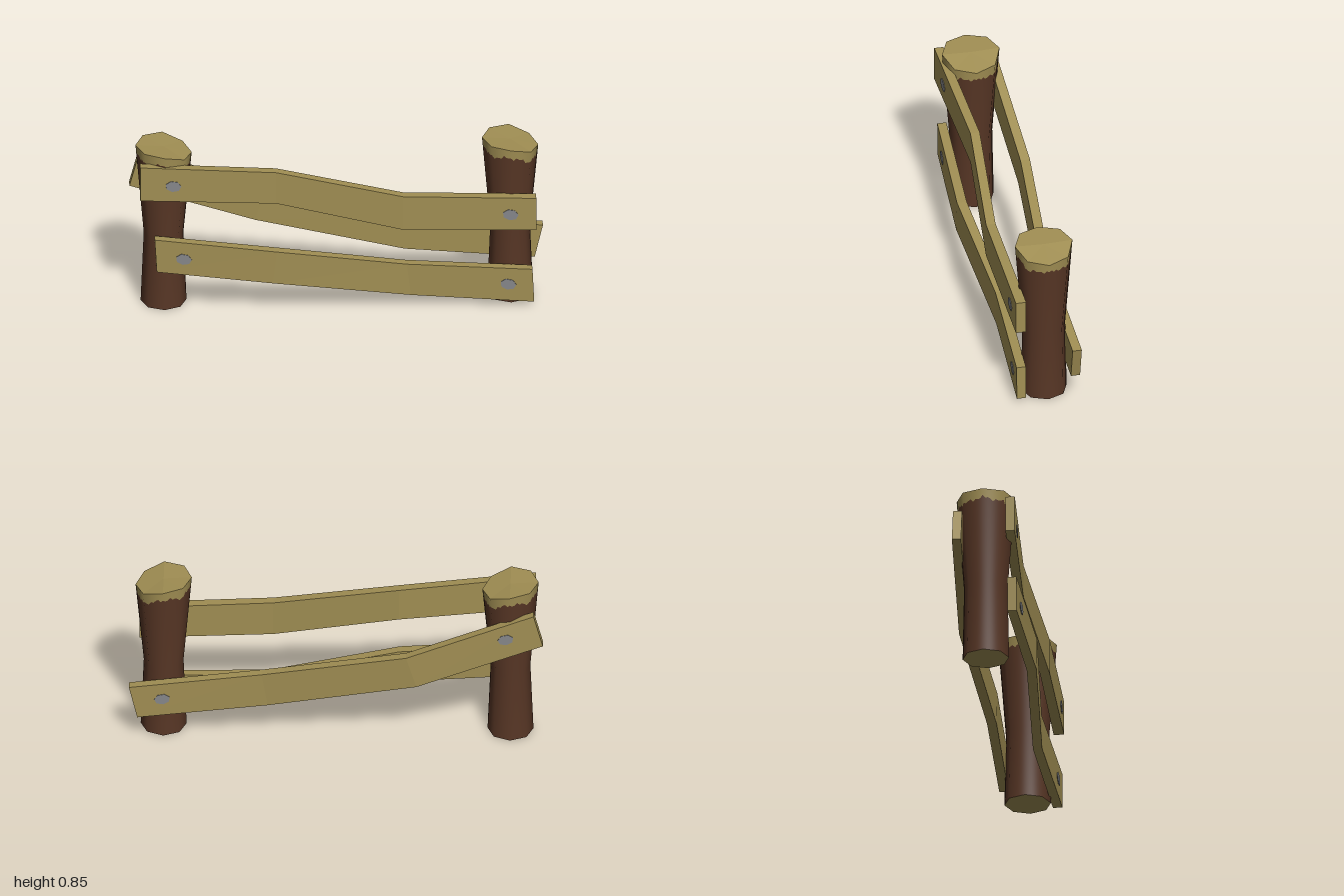
import * as THREE from 'three';

const SIDES = 8, SUB = 8, COLS = SIDES * SUB;
const lerp = THREE.MathUtils.lerp;

// Point on a unit octagon's outline for column i
function octagon(i) {
  const k = Math.floor(i / SUB), t = (i % SUB) / SUB;
  const a = (k / SIDES) * Math.PI * 2, b = ((k + 1) / SIDES) * Math.PI * 2;
  return [lerp(Math.cos(a), Math.cos(b), t), lerp(Math.sin(a), Math.sin(b), t)];
}

// Height of the slanted post top, by corner from +x round to -x
const CORNER_Y = [0.8, 0.81, 0.84, 0.845, 0.845, 0.845, 0.84, 0.81];
function topY(i) {
  const k = Math.floor(i / SUB);
  return lerp(CORNER_Y[k % SIDES], CORNER_Y[(k + 1) % SIDES], (i % SUB) / SUB);
}

// Ragged lower edge of the bare wood
function barkY(i) {
  const j = i % COLS, a = (j / COLS) * Math.PI * 2;
  const jag = 0.007 * Math.sin(j * 2.4) + 0.005 * Math.sin(j * 5.3 + 1);
  return topY(j) - 0.05 + 0.006 * Math.cos(4 * a) + jag;
}

const WAIST = 0.37;
// Post surface point; t runs from the waist (0) to the top (1)
function upper(i, t) {
  const [c, s] = octagon(i);
  return [c * lerp(0.096, 0.136, t), lerp(WAIST, topY(i), t), s * lerp(0.106, 0.142, t)];
}
const barkPoint = (i) => upper(i, (barkY(i) - WAIST) / (topY(i) - WAIST));
const footPoint = (i) => { const [c, s] = octagon(i); return [c * 0.111, 0, s * 0.113]; };

// Smooth-shaded tube through rings given as functions of the column
function tube(rings, slopes) {
  const pos = [], nor = [], idx = [], W = COLS + 1;
  rings.forEach((ring, r) => {
    for (let i = 0; i <= COLS; i++) {
      const [c, s] = octagon(i);
      pos.push(...ring(i));
      nor.push(...new THREE.Vector3(c, slopes[r], s).normalize().toArray());
      if (r && i < COLS) {
        const a = (r - 1) * W + i, d = a + W;
        idx.push(a, d, a + 1, a + 1, d, d + 1);
      }
    }
  });
  const g = new THREE.BufferGeometry();
  g.setAttribute('position', new THREE.Float32BufferAttribute(pos, 3));
  g.setAttribute('normal', new THREE.Float32BufferAttribute(nor, 3));
  g.setIndex(idx);
  return g;
}

// Flat faces from lists of triangles
function flat(tris) {
  const g = new THREE.BufferGeometry();
  g.setAttribute('position', new THREE.Float32BufferAttribute(tris.flat(), 3));
  g.computeVertexNormals();
  return g;
}

// Fan closing one end of a post
function disc(point, centre, up) {
  const tris = [];
  for (let k = 0; k < SIDES; k++) {
    const p = point(k * SUB), q = point((k + 1) * SUB);
    tris.push(centre, up ? q : p, up ? p : q);
  }
  return flat(tris);
}

// Plank from cross-sections: [xTop, yTop, xBottom, yBottom, zBack, zFront]
function plank(sections) {
  const rings = sections.map(([xt, yt, xb, yb, z0, z1]) =>
    [[xb, yb, z1], [xt, yt, z1], [xt, yt, z0], [xb, yb, z0]]);
  const tris = [];
  const quad = (a, b, c, d) => tris.push(a, b, c, a, c, d);
  for (let r = 0; r + 1 < rings.length; r++) {
    for (let k = 0; k < 4; k++) {
      const m = (k + 1) % 4;
      quad(rings[r][k], rings[r + 1][k], rings[r + 1][m], rings[r][m]);
    }
  }
  const s = rings[0], e = rings[rings.length - 1];
  quad(s[0], s[1], s[2], s[3]);
  quad(e[3], e[2], e[1], e[0]);
  return flat(tris);
}

const PLANKS = [
  { name: 'frontUpperPlank', side: 1, nails: [[-0.8, 0.69], [0.83, 0.505]], sections: [
    [-0.96, 0.8, -0.96, 0.62, 0.11, 0.155], [-0.3, 0.738, -0.3, 0.57, 0.072, 0.118],
    [0.31, 0.62, 0.31, 0.44, 0.125, 0.172], [0.955, 0.59, 0.955, 0.417, 0.112, 0.163]] },
  { name: 'frontLowerPlank', side: 1, nails: [[-0.75, 0.3], [0.82, 0.12]], sections: [
    [-0.89, 0.405, -0.88, 0.23, 0.11, 0.155], [-0.3, 0.34, -0.32, 0.17, 0.136, 0.184],
    [0.33, 0.23, 0.35, 0.062, 0.085, 0.13], [0.937, 0.2, 0.945, 0.024, 0.11, 0.156]] },
  { name: 'backPlank', side: -1, nails: [[-0.82, 0.61], [0.84, 0.235]], sections: [
    [-0.955, 0.74, -1, 0.57, -0.146, -0.102], [-0.34, 0.515, -0.39, 0.35, -0.185, -0.138],
    [0.36, 0.375, 0.33, 0.2, -0.136, -0.09], [1, 0.302, 0.96, 0.13, -0.153, -0.108]] },
];

export function createModel() {
  const mat = (name, color) => {
    const m = new THREE.MeshStandardMaterial({ color });
    m.name = name;
    return m;
  };
  const wood = mat('bare wood', 0xa08e53);
  const bark = mat('brown bark', 0x573625);
  const metal = mat('grey metal', 0x85868a);

  const model = new THREE.Group();
  model.name = 'fence';
  const add = (parent, name, geometry, material) => {
    const mesh = new THREE.Mesh(geometry, material);
    mesh.name = name;
    parent.add(mesh);
    return mesh;
  };

  // Two matching posts with slanted, bare tops
  const bark3 = tube([footPoint, (i) => upper(i, 0), barkPoint], [0.03, -0.03, -0.07]);
  const band = tube([barkPoint, (i) => upper(i, 1)], [-0.07, -0.08]);
  const top = disc((i) => upper(i, 1), [0, 0.835, 0], true);
  const foot = disc(footPoint, [0, 0, 0], false);
  for (const [name, x] of [['rightPost', -0.84], ['leftPost', 0.836]]) {
    const post = new THREE.Group();
    post.name = name;
    post.position.x = x;
    add(post, 'postBark', bark3, bark);
    add(post, 'postBareBand', band, wood);
    add(post, 'postTop', top, wood);
    add(post, 'postFoot', foot, wood);
    model.add(post);
  }

  // Warped planks, each with two flat nail heads
  const nailGeo = new THREE.CylinderGeometry(0.034, 0.034, 0.006, 7).rotateX(Math.PI / 2).scale(1.15, 0.85, 1);
  for (const { name, side, nails, sections } of PLANKS) {
    add(model, name, plank(sections), wood);
    nails.forEach(([x, y], n) => {
      const a = sections[n ? 2 : 0], b = sections[n ? 3 : 1];
      const col = side > 0 ? 5 : 4;
      const slope = (b[col] - a[col]) / (b[0] - a[0]);
      const z = a[col] + slope * (x - a[0]);
      const nail = add(model, name + 'Nail', nailGeo, metal);
      nail.position.set(x, y, z);
      nail.rotation.set(0, -Math.atan(slope), -0.2);
    });
  }
  return model;
}
